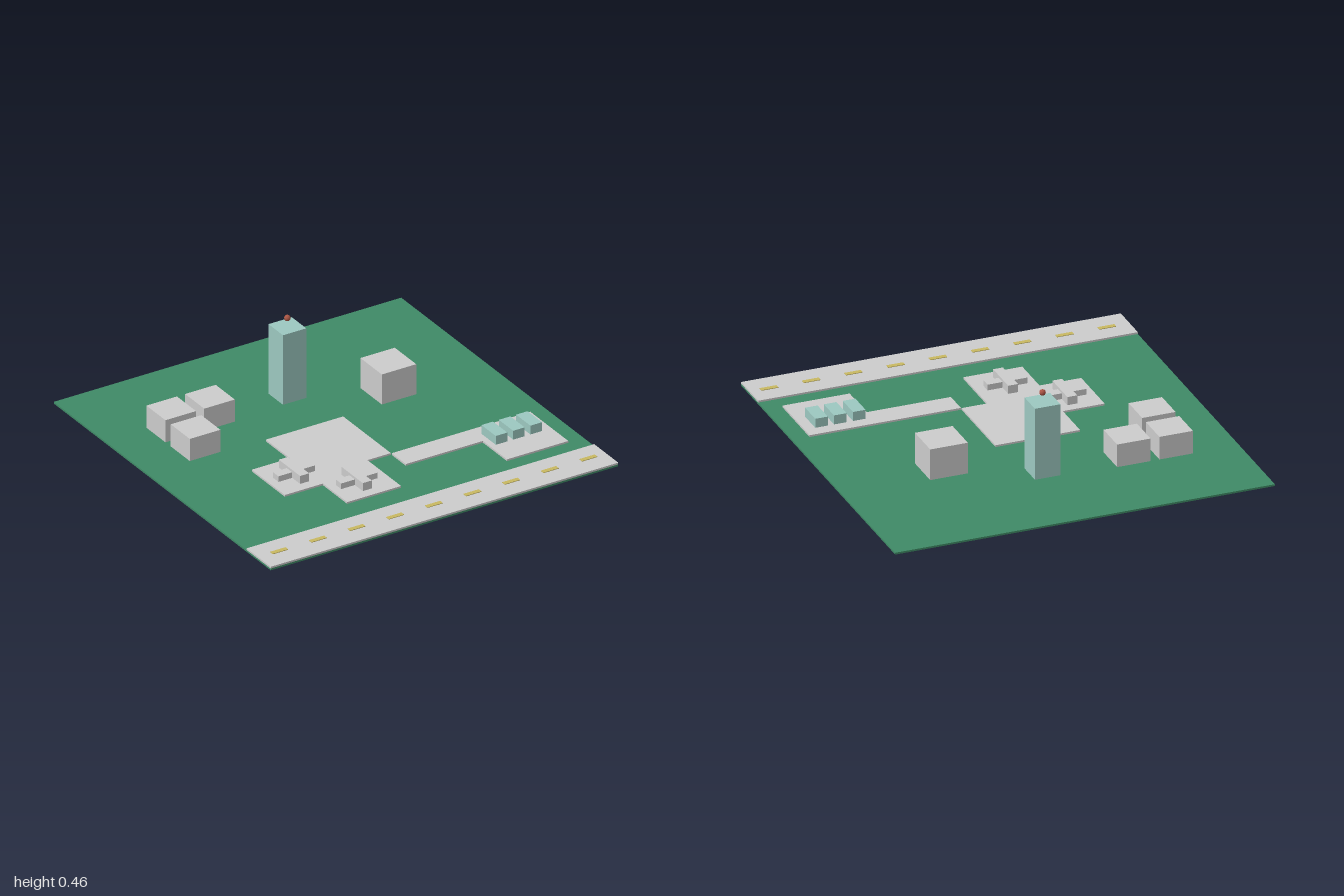
import * as THREE from 'three';

const mat = (color) => new THREE.MeshStandardMaterial({ color });
const GROUND = 0.01; // top of the grass
const PAVED = 0.02; // top of the paved areas

// Box given by its extents on each axis
function box(name, material, [x0, x1], [y0, y1], [z0, z1]) {
  const mesh = new THREE.Mesh(new THREE.BoxGeometry(x1 - x0, y1 - y0, z1 - z0), material);
  mesh.position.set((x0 + x1) / 2, (y0 + y1) / 2, (z0 + z1) / 2);
  mesh.name = name;
  return mesh;
}

// Flat slab lying on the grass, outlined by [x, z] corners
function slab(name, material, corners) {
  const shape = new THREE.Shape(corners.map(([x, z]) => new THREE.Vector2(x, -z)));
  const geometry = new THREE.ExtrudeGeometry(shape, { depth: PAVED - GROUND, bevelEnabled: false });
  geometry.rotateX(-Math.PI / 2);
  const mesh = new THREE.Mesh(geometry, material);
  mesh.position.y = GROUND;
  mesh.name = name;
  return mesh;
}

// Parked aircraft: a fuselage box crossed by a lower wing box
function aircraft(material, x, z) {
  const group = new THREE.Group();
  group.name = 'aircraft';
  group.add(
    box('fuselage', material, [-0.026, 0.026], [0, 0.044], [-0.098, 0.098]),
    box('wings', material, [-0.105, 0.105], [0, 0.031], [-0.025, 0.025]),
  );
  group.position.set(x, PAVED, z);
  return group;
}

export function createModel() {
  const model = new THREE.Group();
  model.name = 'airfield';
  const grey = mat(0xcccccc);
  const green = mat(0x3f8a66);
  const teal = mat(0x9cc8c0);
  const yellow = mat(0xc8b860);
  const red = mat(0xaa5544);

  // Ground and road
  model.add(box('ground', green, [-1, 1], [0, GROUND], [-1, 1]));
  model.add(box('road', grey, [-1, 1], [GROUND, PAVED], [0.778, 1]));
  for (let i = 0; i < 9; i++) {
    const x = -0.88 + i * 0.2225;
    model.add(box('laneDash', yellow, [x - 0.044, x + 0.044], [PAVED, 0.023], [0.873, 0.898]));
  }

  // Apron with its two aircraft stands
  model.add(slab('apron', grey, [
    [-0.335, -0.11], [0.11, -0.11], [0.11, 0.33], [-0.025, 0.33], [-0.025, 0.64],
    [-0.335, 0.64], [-0.335, 0.417], [-0.555, 0.417], [-0.555, 0.113], [-0.335, 0.113],
  ]));
  model.add(aircraft(grey, -0.406, 0.263), aircraft(grey, -0.185, 0.487));

  // Access lane and parking lot
  model.add(slab('parkingLot', grey, [
    [0.113, 0.333], [0.91, 0.333], [0.91, 0.684], [0.557, 0.684], [0.557, 0.463], [0.113, 0.463],
  ]));
  for (const x of [0.622, 0.722, 0.821]) {
    model.add(box('parkedVehicle', teal, [x - 0.033, x + 0.033], [PAVED, 0.069], [0.398, 0.53]));
  }

  // Small hangars and the terminal
  for (const [x, z] of [[-0.668, -0.449], [-0.445, -0.449], [-0.668, -0.225]]) {
    model.add(box('hangar', grey, [x - 0.088, x + 0.088], [GROUND, 0.133], [z - 0.088, z + 0.088]));
  }
  model.add(box('terminal', grey, [0.344, 0.542], [GROUND, 0.177], [-0.326, -0.128]));

  // Control tower with a beacon hovering above it
  model.add(box('controlTower', teal, [-0.067, 0.067], [GROUND, 0.397], [-0.515, -0.381]));
  const beacon = new THREE.Mesh(new THREE.SphereGeometry(0.016, 20, 14), red);
  beacon.position.set(0, 0.443, -0.448);
  beacon.name = 'beacon';
  model.add(beacon);

  return model;
}
